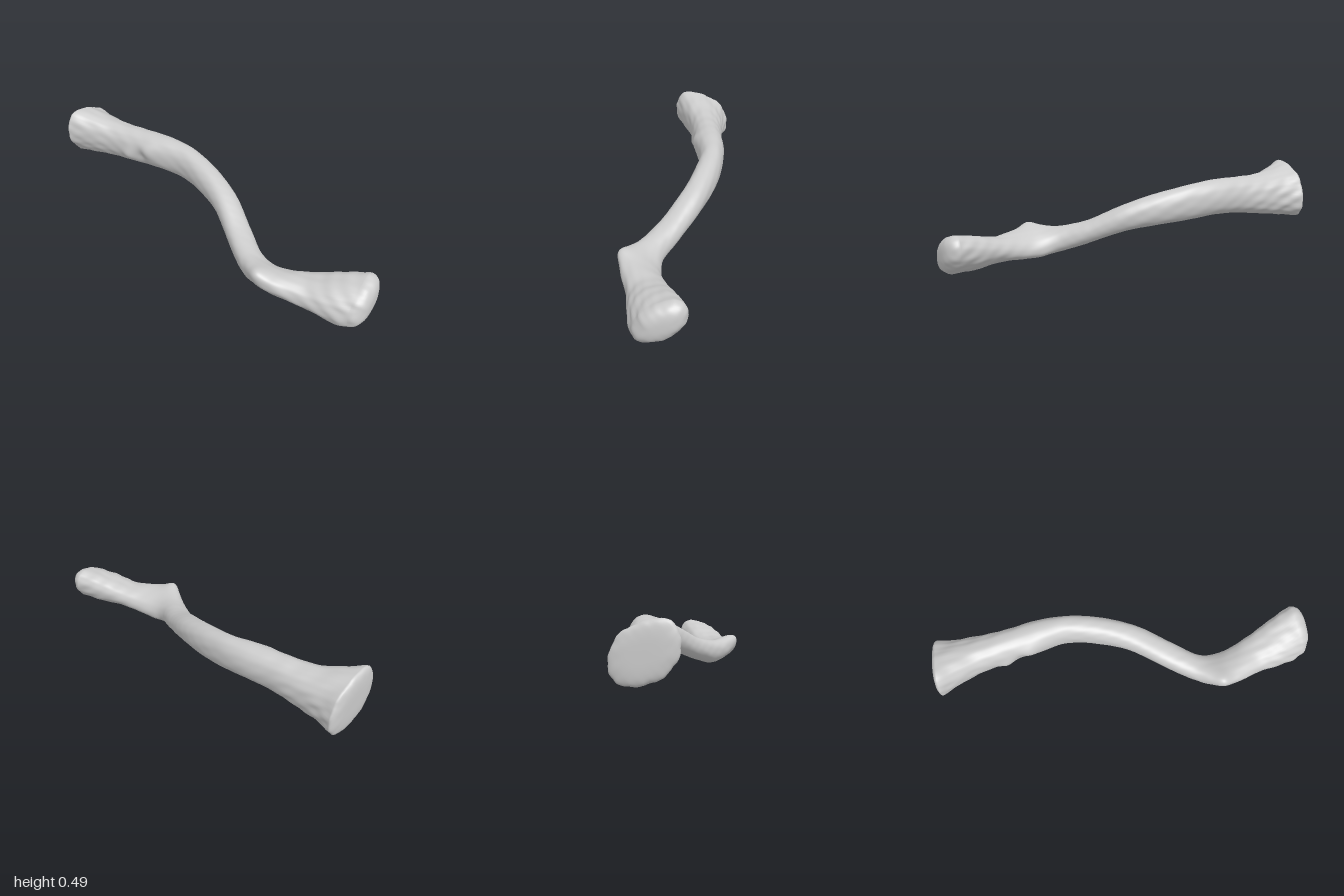
import * as THREE from 'three';

// Cross-sections from back to front:
// left edge x, z | right edge x, z | centre height | half height | tilt (left edge raised)
const SECTIONS = [
  [-0.605, -0.825, -0.315, -0.985, 0.335, 0.146, 0.045],
  [-0.54, -0.785, -0.28, -0.885, 0.332, 0.132, 0.035],
  [-0.41, -0.69, -0.215, -0.765, 0.325, 0.113, 0.015],
  [-0.30, -0.57, -0.13, -0.63, 0.332, 0.104, 0],
  [-0.19, -0.435, -0.03, -0.50, 0.336, 0.1, 0],
  [-0.08, -0.31, 0.055, -0.35, 0.322, 0.098, 0],
  [-0.015, -0.14, 0.12, -0.18, 0.293, 0.088, 0],
  [0.02, 0.04, 0.16, 0.02, 0.245, 0.074, 0],
  [0.02, 0.24, 0.165, 0.22, 0.165, 0.064, 0],
  [0.015, 0.42, 0.165, 0.38, 0.118, 0.068, 0.01],
  [0.022, 0.57, 0.205, 0.465, 0.113, 0.066, 0.04],
  [0.08, 0.655, 0.275, 0.55, 0.105, 0.066, 0.025],
  [0.2, 0.76, 0.385, 0.64, 0.1, 0.069, -0.01],
  [0.3, 0.88, 0.5, 0.72, 0.106, 0.093, -0.03],
  [0.385, 0.955, 0.605, 0.8, 0.118, 0.1, -0.045],
];

// Local swellings (+) and hollows (-): x, y, z, radius, amount
const BUMPS = [
  [-0.23, 0.36, -0.46, 0.05, 0.016],
  [-0.31, 0.30, -0.57, 0.04, 0.015],
  [-0.24, 0.31, -0.52, 0.035, -0.014],
  [0.05, 0.19, 0.58, 0.045, 0.018],
  [-0.53, 0.46, -0.86, 0.05, 0.012],
  [0.45, 0.10, 0.97, 0.04, -0.018],
  [0.36, 0.03, 0.91, 0.04, 0.012],
];

const RADIAL = 72, ALONG = 200, CAP = 14;

// Smooth interpolation of all section values
function sectionAt(t) {
  const last = SECTIONS.length - 1;
  const f = t * last, i = Math.min(Math.floor(f), last - 1), u = f - i;
  const at = (k) => SECTIONS[Math.max(0, Math.min(last, k))];
  return SECTIONS[0].map((_, c) => {
    const a = at(i - 1)[c], b = at(i)[c], d = at(i + 1)[c], e = at(i + 2)[c];
    return b + 0.5 * u * (d - a + u * (2 * a - 5 * b + 4 * d - e + u * (3 * (b - d) + e - a)));
  });
}

// Slight surface unevenness, stronger toward both ends
function grain(p) {
  const ends = 0.0009 + 0.0028 * THREE.MathUtils.smoothstep(Math.abs(p.z), 0.5, 0.95);
  return ends * (Math.sin(p.x * 41 + p.y * 33) * Math.sin(p.z * 37 + p.y * 51)
    + 0.6 * Math.sin(p.x * 83 - p.z * 71) * Math.sin(p.y * 95 + 1));
}

// One ring of points; scale and push shape the rounded end caps
function addRing(out, s, scale, push) {
  const [lx, lz, rx, rz, cy, hh, tilt] = s;
  const half = new THREE.Vector3((rx - lx) / 2, -tilt, (rz - lz) / 2);
  const centre = new THREE.Vector3((lx + rx) / 2, cy, (lz + rz) / 2);
  const axis = new THREE.Vector3(-half.z, 0, half.x).normalize();
  for (let j = 0; j < RADIAL; j++) {
    const a = (j / RADIAL) * Math.PI * 2, c = Math.cos(a), n = Math.sin(a);
    const square = (v) => Math.sign(v) * Math.abs(v) ** 0.9;
    const p = centre.clone().addScaledVector(half, square(c) * scale);
    p.y += square(n) * hh * scale;
    const dir = p.clone().sub(centre).normalize();
    p.addScaledVector(axis, push);
    let d = grain(p) * scale;
    for (const [x, y, z, r, amount] of BUMPS) {
      const q = (p.x - x) ** 2 + (p.y - y) ** 2 + (p.z - z) ** 2;
      d += amount * Math.exp(-q / (r * r)) * scale;
    }
    p.addScaledVector(dir, d);
    out.push(p.x, p.y, p.z);
  }
}

function boneGeometry() {
  const pos = [], index = [];
  const first = SECTIONS[0], last = SECTIONS[SECTIONS.length - 1];
  const capScale = (k) => Math.sin((k / CAP) * Math.PI / 2);
  const capPush = (scale, depth, power) => depth * (1 - scale ** power) ** (1 / 2);

  // Back joint face, shaft, front joint face
  for (let k = 0; k < CAP; k++) addRing(pos, first, capScale(k), -capPush(capScale(k), 0.028, 4));
  for (let i = 0; i <= ALONG; i++) addRing(pos, sectionAt(i / ALONG), 1, 0);
  for (let k = CAP - 1; k >= 0; k--) addRing(pos, last, capScale(k), capPush(capScale(k), 0.07, 3));

  const rings = pos.length / 3 / RADIAL;
  for (let i = 0; i < rings - 1; i++) {
    for (let j = 0; j < RADIAL; j++) {
      const a = i * RADIAL + j, b = i * RADIAL + (j + 1) % RADIAL;
      const c = a + RADIAL, d = b + RADIAL;
      if (i > 0) index.push(a, b, c);
      else index.push(b, d, c);
      if (i > 0 && i < rings - 2) index.push(b, d, c);
    }
  }
  const g = new THREE.BufferGeometry();
  g.setAttribute('position', new THREE.Float32BufferAttribute(pos, 3));
  g.setIndex(index);
  g.computeVertexNormals();
  return g;
}

export function createModel() {
  const group = new THREE.Group();
  group.name = 'collarbone';
  const bone = new THREE.Mesh(boneGeometry(), new THREE.MeshStandardMaterial({ color: 0xcccccc }));
  bone.name = 'boneShaft';
  group.add(bone);
  return group;
}
